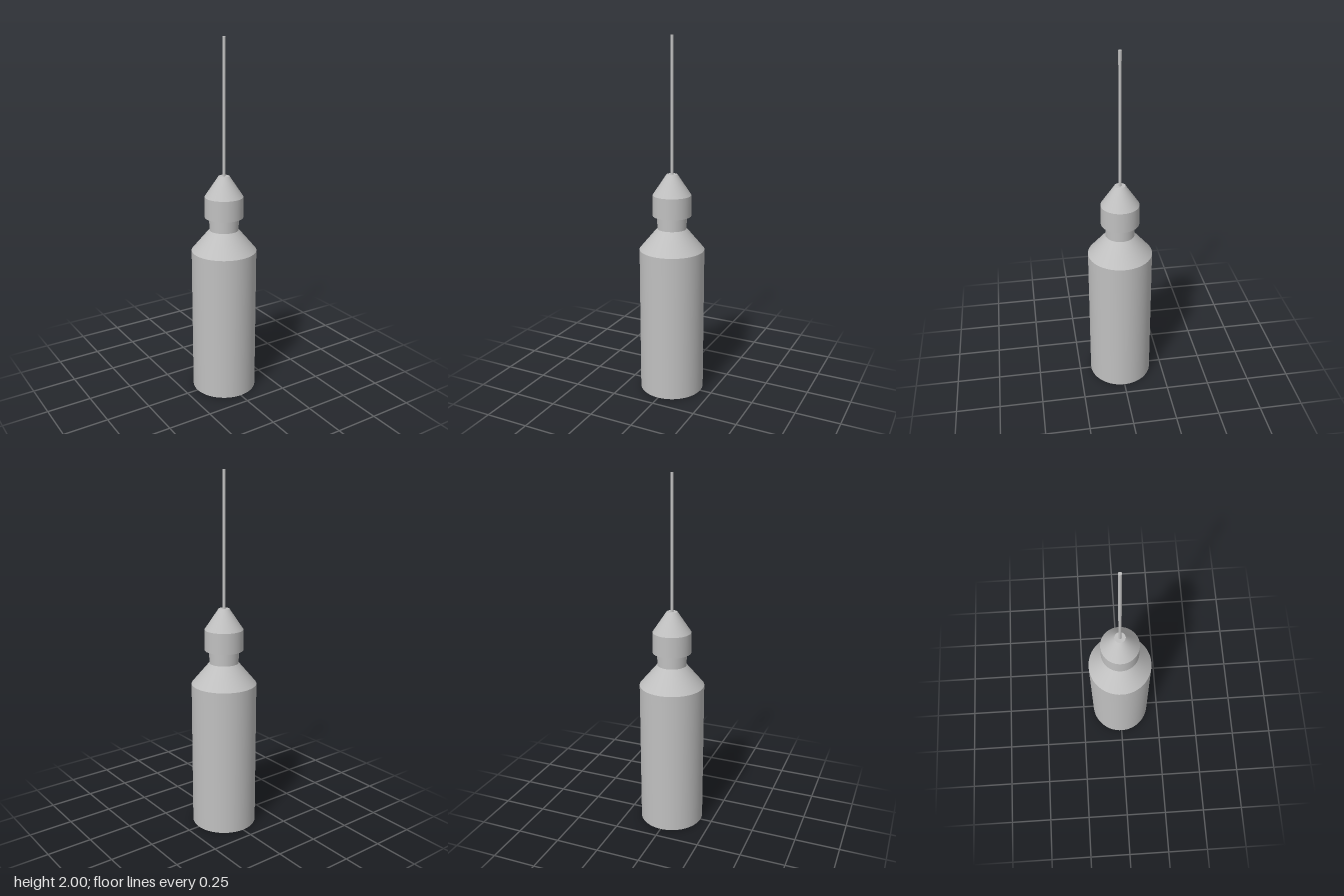
import * as THREE from 'three';

const SIDES = 64;

export function createModel() {
  const model = new THREE.Group();
  model.name = 'needleBottle';
  const grey = new THREE.MeshStandardMaterial({ color: 0xc0c0c0 });
  grey.name = 'grey';

  // Round section from y0 to y1, capped only where an end is exposed
  function section(name, r0, r1, y0, y1, open = false) {
    const geometry = new THREE.CylinderGeometry(r1, r0, y1 - y0, SIDES, 1, open);
    const mesh = new THREE.Mesh(geometry, grey);
    mesh.name = name;
    mesh.position.y = (y0 + y1) / 2;
    model.add(mesh);
  }

  // Bottle
  section('body', 0.182, 0.182, 0, 0.84);
  section('shoulder', 0.182, 0.082, 0.84, 0.96, true);
  section('neck', 0.082, 0.082, 0.96, 1.033, true);

  // Cap with tapered nozzle
  section('capCollar', 0.107, 0.107, 1.033, 1.15);
  section('capNozzle', 0.107, 0.03, 1.15, 1.266);

  // Needle
  section('needle', 0.0085, 0.0085, 1.26, 2);

  return model;
}
